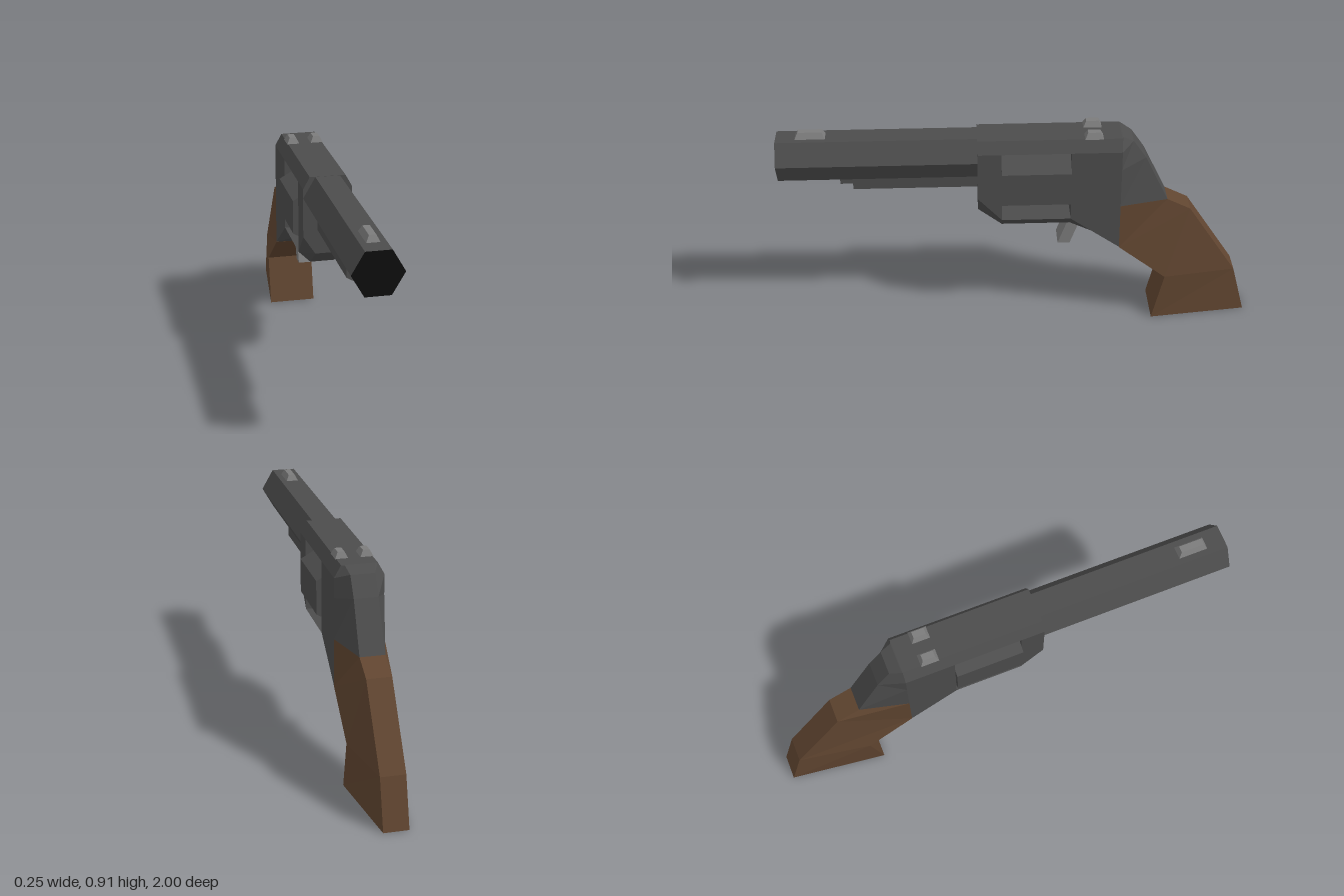
import * as THREE from 'three';

function material(name, color) {
  const m = new THREE.MeshStandardMaterial({ color, flatShading: true });
  m.name = name;
  return m;
}

// Skin a row of equal-sized convex rings, capped at both ends, facing outward
function loft(rings) {
  const pos = [];
  const tri = (a, b, c) => pos.push(...a, ...b, ...c);
  const n = rings[0].length, last = rings[rings.length - 1];
  for (let r = 0; r < rings.length - 1; r++) {
    for (let i = 0; i < n; i++) {
      const j = (i + 1) % n, A = rings[r], B = rings[r + 1];
      tri(A[i], A[j], B[j]);
      tri(A[i], B[j], B[i]);
    }
  }
  for (let i = 1; i < n - 1; i++) {
    tri(rings[0][0], rings[0][i + 1], rings[0][i]);
    tri(last[0], last[i], last[i + 1]);
  }
  // turn the faces round if the enclosed volume is negative
  let volume = 0;
  const [a, b, c] = [0, 1, 2].map(() => new THREE.Vector3());
  for (let k = 0; k < pos.length; k += 9) {
    volume += a.fromArray(pos, k).dot(b.fromArray(pos, k + 3).cross(c.fromArray(pos, k + 6)));
  }
  if (volume < 0) {
    for (let k = 0; k < pos.length; k += 9) {
      for (let d = 0; d < 3; d++) {
        [pos[k + 3 + d], pos[k + 6 + d]] = [pos[k + 6 + d], pos[k + 3 + d]];
      }
    }
  }
  const g = new THREE.BufferGeometry();
  g.setAttribute('position', new THREE.Float32BufferAttribute(pos, 3));
  g.computeVertexNormals();
  return g;
}

// Upright mirrored section at depth z from its +x half, listed top to bottom
const section = (z, half) => [
  ...half.map(([x, y]) => [x, y, z]),
  ...half.slice().reverse().map(([x, y]) => [-x, y, z]),
];

// Four-cornered row: front edge and back edge, each [half width, y, z]
const row = ([wf, yf, zf], [wb, yb, zb]) => [[wf, yf, zf], [wb, yb, zb], [-wb, yb, zb], [-wf, yf, zf]];

// Hexagonal bar along z; flatTop turns a flat side upward
function hexBar(radius, y, zBack, zFront, flatTop) {
  const g = new THREE.CylinderGeometry(radius, radius, zFront - zBack, 6);
  g.rotateX(Math.PI / 2);
  if (flatTop) g.rotateZ(Math.PI / 6);
  g.translate(0, y, (zBack + zFront) / 2);
  return g;
}

export function createModel() {
  const model = new THREE.Group();
  model.name = 'revolver';
  const steel = material('dark steel', 0x4c4c4c);
  const bright = material('light steel', 0x7c7c7c);
  const wood = material('brown wood', 0x604530);
  const black = material('bore black', 0x0d0d0d);

  const add = (name, geometry, mat) => {
    const mesh = new THREE.Mesh(geometry, mat);
    mesh.name = name;
    model.add(mesh);
  };

  // Barrel with black muzzle, and the rod under it
  add('barrel', hexBar(0.103, 0.795, 0.16, 1, true), [steel, black, steel]);
  add('ejectorHousing', hexBar(0.05, 0.678, 0.16, 0.69), steel);
  add('ejectorRod', hexBar(0.023, 0.678, 0.68, 0.745), steel);

  // Frame around the cylinder opening
  const top = [[0.075, 0.885], [0.103, 0.834]];
  const railBottom = [[0.103, 0.52], [0.052, 0.47]];
  add('frameFront', loft([
    section(0.17, [...top, [0.103, 0.625], [0.052, 0.547]]),
    section(0.07, [...top, ...railBottom]),
  ]), steel);
  add('frameTopRail', loft([section(0.07, top), section(-0.22, top)]), steel);
  add('frameBottomRail', loft([section(0.07, railBottom), section(-0.22, railBottom)]), steel);
  add('frameRear', loft([
    section(-0.22, [...top, ...railBottom]),
    section(-0.43, [...top, [0.103, 0.372], [0.052, 0.37]]),
  ]), steel);

  // Frame back, narrowing toward the rear
  add('frameBack', loft([
    row([0.103, 0.575, -0.43], [0.052, 0.575, -0.635]),
    row([0.103, 0.75, -0.43], [0.05, 0.78, -0.535]),
    row([0.103, 0.834, -0.43], [0.05, 0.86, -0.48]),
    row([0.075, 0.885, -0.43], [0.06, 0.884, -0.434]),
  ]), steel);

  // Cylinder
  add('cylinder', hexBar(0.145, 0.677, -0.22, 0.07), steel);

  // Grip
  add('grip', loft([
    row([0.103, 0, -0.585], [0.052, 0, -1]),
    row([0.103, 0.21, -0.635], [0.052, 0.21, -0.945]),
    row([0.103, 0.37, -0.43], [0.052, 0.525, -0.735]),
    row([0.103, 0.575, -0.43], [0.052, 0.575, -0.635]),
  ]), wood);

  // Trigger
  add('trigger', loft([
    row([0.052, 0.368, -0.17], [0.052, 0.368, -0.222]),
    row([0.052, 0.48, -0.212], [0.052, 0.48, -0.264]),
  ]), bright);

  // Sights: one at the muzzle, a pair at the rear
  const sight = (name, x, zBack, zFront) => {
    const ring = (w, y, inset) => row([w, y, zFront - inset], [w, y, zBack + inset])
      .map(([px, py, pz]) => [px + x, py, pz]);
    add(name, loft([ring(0.027, 0.884, 0), ring(0.014, 0.91, 0.013)]), bright);
  };
  sight('frontSight', 0, 0.795, 0.92);
  sight('rearSightLeft', 0.052, -0.353, -0.275);
  sight('rearSightRight', -0.052, -0.353, -0.275);

  return model;
}
